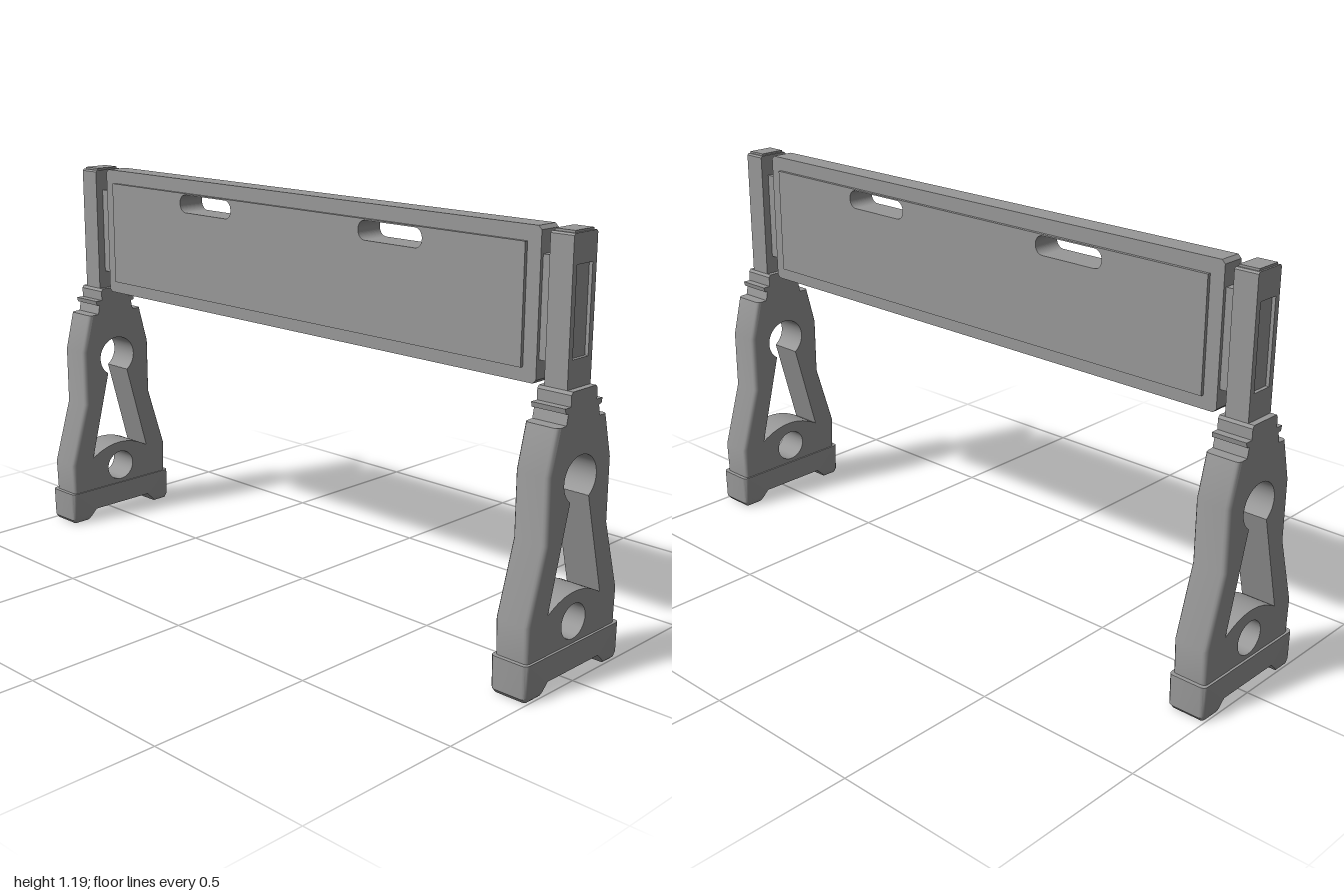
import * as THREE from 'three';
import { toCreasedNormals } from 'three/addons/utils/BufferGeometryUtils.js';

const material = new THREE.MeshStandardMaterial({ color: 0x989898 });

function mesh(name, geometry, x = 0, y = 0, z = 0) {
  const m = new THREE.Mesh(geometry, material);
  m.name = name;
  m.position.set(x, y, z);
  return m;
}

// Rectangle with chamfered corners, usable as outline or hole
function chamferedRect(Type, x0, x1, y0, y1, c) {
  return new Type([
    [x0 + c, y0], [x1 - c, y0], [x1, y0 + c], [x1, y1 - c],
    [x1 - c, y1], [x0 + c, y1], [x0, y1 - c], [x0, y0 + c],
  ].map(([x, y]) => new THREE.Vector2(x, y)));
}

// Half profile (z, y) from top to bottom, mirrored into a full outline
function mirroredShape(half) {
  const other = half.map(([z, y]) => [-z, y]).reverse();
  return new THREE.Shape([...half, ...other].map(([z, y]) => new THREE.Vector2(z, y)));
}

// Extrude a (z, y) outline along x and round its outer rim towards both side faces
function roundedSlab(shape, width, radius, isOuter, insetBottom = false) {
  const steps = 7;
  const geo = new THREE.ExtrudeGeometry(shape, { depth: width, steps, bevelEnabled: false, curveSegments: 16 });
  const p = geo.attributes.position;
  for (let i = 0; i < p.count; i++) {
    const layer = Math.round(p.getZ(i) / width * steps);
    const fromEnd = Math.min(layer, steps - layer);
    const angle = fromEnd / 3 * Math.PI / 2;
    const side = layer < steps / 2 ? -1 : 1;
    const x = p.getX(i), y = p.getY(i);
    p.setZ(i, side * (width / 2 - radius * (1 - Math.cos(angle))));
    if (isOuter(x, y)) {
      const inset = radius * (1 - Math.sin(angle));
      p.setX(i, x - Math.sign(x) * inset);
      if (insetBottom && y < 0.02) p.setY(i, y + inset);
    }
  }
  geo.rotateY(Math.PI / 2);
  geo.deleteAttribute('normal');
  return toCreasedNormals(geo, 0.6);
}

// Leg plate with a keyhole opening and a round hole
function legGeometry() {
  const shape = mirroredShape([
    [0.05, 0.79], [0.056, 0.782], [0.056, 0.752], [0.08, 0.752], [0.077, 0.738], [0.066, 0.736],
    [0.072, 0.707], [0.106, 0.706], [0.137, 0.585], [0.137, 0.405], [0.198, 0.205], [0.194, 0.09],
  ]);
  const keyhole = new THREE.Path();
  const a = -0.963;
  keyhole.moveTo(0.115, 0.215);
  keyhole.lineTo(0.04, 0.5);
  keyhole.absellipse(0, 0.553, 0.07, 0.065, a, Math.PI - a, false);
  keyhole.lineTo(-0.115, 0.215);
  keyhole.quadraticCurveTo(0, 0.283, 0.115, 0.215);
  const round = new THREE.Path();
  round.absellipse(0, 0.166, 0.053, 0.049, 0, Math.PI * 2, false);
  shape.holes.push(keyhole, round);
  // Only the flanks are rounded; the stepped neck stays square
  return roundedSlab(shape, 0.104, 0.013, (z, y) => Math.abs(z) > 0.13 || (y > 0.65 && Math.abs(z) > 0.09));
}

// Foot block with an arched underside
function footGeometry() {
  const shape = mirroredShape([
    [0.207, 0.105], [0.205, 0.012], [0.195, 0], [0.148, 0], [0.112, 0.035],
  ]);
  return roundedSlab(shape, 0.115, 0.014, (z) => Math.abs(z) > 0.14, true);
}

// Slim upright with a recessed panel on its outer face
function addPost(group, side) {
  const frame = chamferedRect(THREE.Shape, -0.05, 0.05, 0.77, 1.181, 0.005);
  const core = new THREE.ExtrudeGeometry(frame.clone(), { depth: 0.06, bevelEnabled: false });
  core.rotateY(Math.PI / 2);
  frame.holes.push(chamferedRect(THREE.Path, -0.033, 0.033, 0.865, 1.103, 0));
  const rim = new THREE.ExtrudeGeometry(frame, { depth: 0.01, bevelEnabled: false });
  rim.rotateY(Math.PI / 2);
  group.add(mesh('post', core, side > 0 ? 0.905 : -0.965));
  group.add(mesh('postRim', rim, side > 0 ? 0.965 : -0.975));
  group.add(mesh('postCap', new THREE.BoxGeometry(0.06, 0.008, 0.08), side * 0.94, 1.183));
}

// Board layer pierced by the two grip slots
function boardLayer(w, y0, y1, thickness, corner) {
  const shape = chamferedRect(THREE.Shape, -w, w, y0, y1, corner);
  for (const x of [-0.375, 0.375]) {
    const r = 0.025, x0 = x - 0.115, x1 = x + 0.115, b = 1.086, t = 1.141;
    const slot = new THREE.Path();
    slot.absarc(x1 - r, b + r, r, -Math.PI / 2, 0, false);
    slot.absarc(x1 - r, t - r, r, 0, Math.PI / 2, false);
    slot.absarc(x0 + r, t - r, r, Math.PI / 2, Math.PI, false);
    slot.absarc(x0 + r, b + r, r, Math.PI, Math.PI * 1.5, false);
    slot.closePath();
    shape.holes.push(slot);
  }
  const geo = new THREE.ExtrudeGeometry(shape, { depth: thickness, bevelEnabled: false, curveSegments: 6 });
  return geo.translate(0, 0, -thickness / 2);
}

export function createModel() {
  const model = new THREE.Group();
  model.name = 'barrier';

  // Board with raised panels front and back
  const board = new THREE.Group();
  board.name = 'board';
  board.add(mesh('boardBody', boardLayer(0.868, 0.784, 1.187, 0.07, 0.01)));
  board.add(mesh('raisedPanel', boardLayer(0.826, 0.822, 1.145, 0.09, 0)));
  model.add(board);

  // Two mirrored supports
  const leg = legGeometry();
  const foot = footGeometry();
  for (const side of [-1, 1]) {
    const support = new THREE.Group();
    support.name = side > 0 ? 'leftSupport' : 'rightSupport';
    support.add(mesh('leg', leg, side * 0.941));
    support.add(mesh('foot', foot, side * 0.9425));
    support.add(mesh('connector', new THREE.BoxGeometry(0.06, 0.27, 0.05), side * 0.885, 0.981));
    addPost(support, side);
    model.add(support);
  }
  return model;
}
